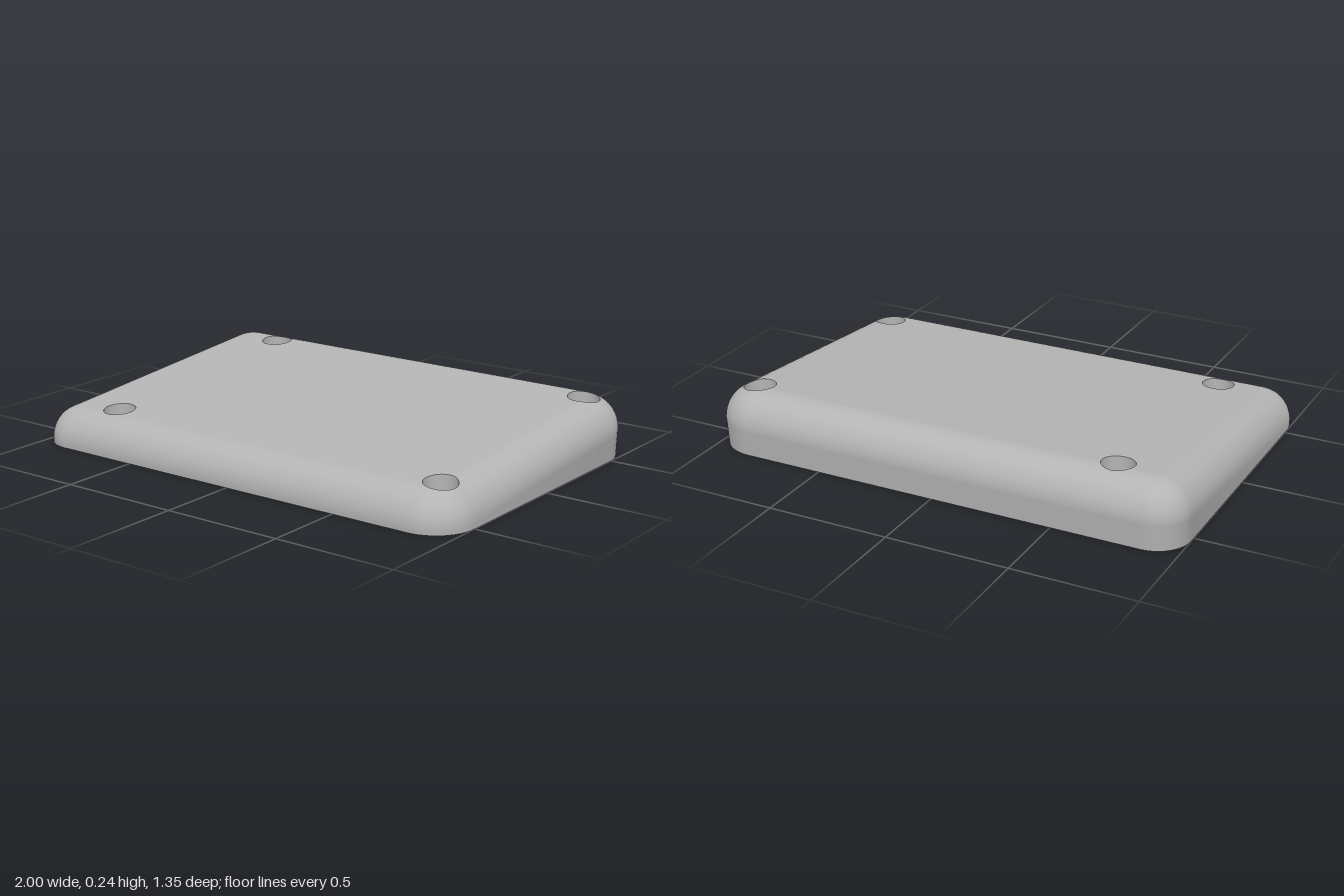
import * as THREE from 'three';
import { toCreasedNormals } from 'three/addons/utils/BufferGeometryUtils.js';

const TILT = THREE.MathUtils.degToRad(5), S = Math.sin(TILT), C = Math.cos(TILT);
const HALF_DEPTH = 0.677, FILLET = 0.13;
const ARC = 12, FILLET_STEPS = 12;
const SIDES = 40, BORE = 0.065, SHAFT = 0.03, FLOOR = 0.05;
const HOLES = [[-0.7, -0.51], [0.86, -0.51], [-0.7, 0.51], [0.86, 0.51]];

// Rounded plan outline; the +x corners are a little rounder
function outline(halfDepth) {
  const points = [];
  [[1, 1, 0.17], [-1, 1, 0.14], [-1, -1, 0.14], [1, -1, 0.17]].forEach(([sx, sz, r], q) => {
    for (let i = 0; i <= ARC; i++) {
      const a = (q + i / ARC) * Math.PI / 2;
      points.push({ cx: sx * (1 - r), cz: sz * (halfDepth - r), r, dx: Math.cos(a), dz: Math.sin(a) });
    }
  });
  return points;
}

// Tilted plane coordinates (x, up, forward) to the standing frame
const tilt = (x, v, w) => [x, v * C - w * S, v * S + w * C];
const place = (x, v, w) => {
  const p = tilt(x, v, w);
  return [p[0], p[1] + 0.197, p[2] + 0.0113];
};

// Vertices are [x, y, z, nx, ny, nz]
function shellTriangles() {
  const plan = outline(HALF_DEPTH), rings = [];
  for (let k = 0; k <= FILLET_STEPS; k++) {
    rings.push(plan.map(({ cx, cz, r, dx, dz }) => {
      const back = 0.5 - (cz + r * dz) / (2 * HALF_DEPTH);
      const low = -2 * TILT * back;
      const phi = low + (Math.PI / 2 - low) * k / FILLET_STEPS;
      const reach = r - FILLET * (1 - Math.cos(phi));
      return [
        ...place(cx + reach * dx, -FILLET * (1 - Math.sin(phi)), cz + reach * dz),
        ...tilt(Math.cos(phi) * dx, Math.sin(phi), Math.cos(phi) * dz)
      ];
    }));
  }
  // Foot of the walls, level with the ground
  rings.unshift(outline(0.67).map(({ cx, cz, r, dx, dz }, i) =>
    [cx + r * dx, 0, cz + r * dz + 0.005, ...rings[0][i].slice(3)]));

  const triangles = [], n = plan.length, centre = [...place(0, 0, 0), ...tilt(0, 1, 0)];
  for (let i = 0; i < n; i++) {
    const j = (i + 1) % n;
    for (let k = 0; k < rings.length - 1; k++) {
      const lo = rings[k], hi = rings[k + 1];
      triangles.push([lo[i], hi[i], hi[j]], [lo[i], hi[j], lo[j]]);
    }
    const top = rings[rings.length - 1];
    triangles.push([centre, top[j], top[i]]);
  }
  return triangles;
}

// Part of a convex polygon where f >= 0
function clip(poly, f) {
  const out = [];
  poly.forEach((p, i) => {
    const q = poly[(i + 1) % poly.length], a = f(p), b = f(q);
    if (a >= 0) out.push(p);
    if ((a > 0 && b < 0) || (a < 0 && b > 0)) {
      const t = a / (a - b);
      out.push(p.map((v, m) => v + (q[m] - v) * t));
    }
  });
  return out;
}

// Cut a vertical bore through polygons, collecting its wall down to the floor
function cutBore(polys, [hx, hz], walls) {
  const edges = Array.from({ length: SIDES }, (_, k) => {
    const a = (k + 0.5) * 2 * Math.PI / SIDES, d = BORE * Math.cos(Math.PI / SIDES);
    return p => Math.sin(a) * (p[0] - hx) + Math.cos(a) * (p[2] - hz) - d;
  });
  return polys.flatMap(poly => {
    let rest = poly;
    const kept = [];
    for (const f of edges) {
      const outside = clip(rest, f);
      if (outside.length > 2) kept.push(outside);
      rest = clip(rest, p => -f(p));
      if (rest.length < 3) return [poly];
    }
    rest.forEach((p, i) => {
      const q = rest[(i + 1) % rest.length];
      if (!edges.some(f => Math.abs(f(p)) < 1e-7 && Math.abs(f(q)) < 1e-7)) return;
      const vertex = (v, y) => [v[0], y, v[2], (hx - v[0]) / BORE, 0, (hz - v[2]) / BORE];
      walls.push([vertex(p, p[1]), vertex(q, q[1]), vertex(q, FLOOR), vertex(p, FLOOR)]);
    });
    return kept;
  });
}

function polygonGeometry(polys) {
  const position = [], normal = [];
  for (const poly of polys) {
    for (let i = 1; i < poly.length - 1; i++) {
      for (const v of [poly[0], poly[i], poly[i + 1]]) {
        position.push(v[0], v[1], v[2]);
        normal.push(v[3], v[4], v[5]);
      }
    }
  }
  const geometry = new THREE.BufferGeometry();
  geometry.setAttribute('position', new THREE.Float32BufferAttribute(position, 3));
  geometry.setAttribute('normal', new THREE.Float32BufferAttribute(normal, 3));
  geometry.normalizeNormals();
  return geometry;
}

export function createModel() {
  const group = new THREE.Group();
  group.name = 'wedgeCover';
  const grey = new THREE.MeshStandardMaterial({ color: 0xb4b4b4 });
  grey.name = 'grey';
  const add = (name, geometry) => {
    const mesh = new THREE.Mesh(geometry, grey);
    mesh.name = name;
    group.add(mesh);
    return mesh;
  };

  // Sloping shell with filleted rim, and the four bore walls
  const walls = [];
  const shell = HOLES.reduce((polys, hole) => cutBore(polys, hole, walls), shellTriangles());
  add('shell', polygonGeometry(shell));
  add('boreWalls', polygonGeometry(walls));

  // Flat underside with screw holes
  const base = new THREE.Shape(outline(0.67).map(({ cx, cz, r, dx, dz }) =>
    new THREE.Vector2(cx + r * dx, cz + r * dz + 0.005)));
  for (const [x, z] of HOLES) {
    base.holes.push(new THREE.Path().absarc(x, z, SHAFT, 0, Math.PI * 2, true));
  }
  add('underside', new THREE.ShapeGeometry(base, SIDES / 2).rotateX(Math.PI / 2));

  // Screw seat and shaft of each hole
  const profile = [[BORE, FLOOR], [SHAFT, FLOOR], [SHAFT, 0]].map(p => new THREE.Vector2(...p));
  const seat = toCreasedNormals(new THREE.LatheGeometry(profile, SIDES), 0.6);
  for (const [x, z] of HOLES) add('screwSeat', seat).position.set(x, 0, z);

  return group;
}
